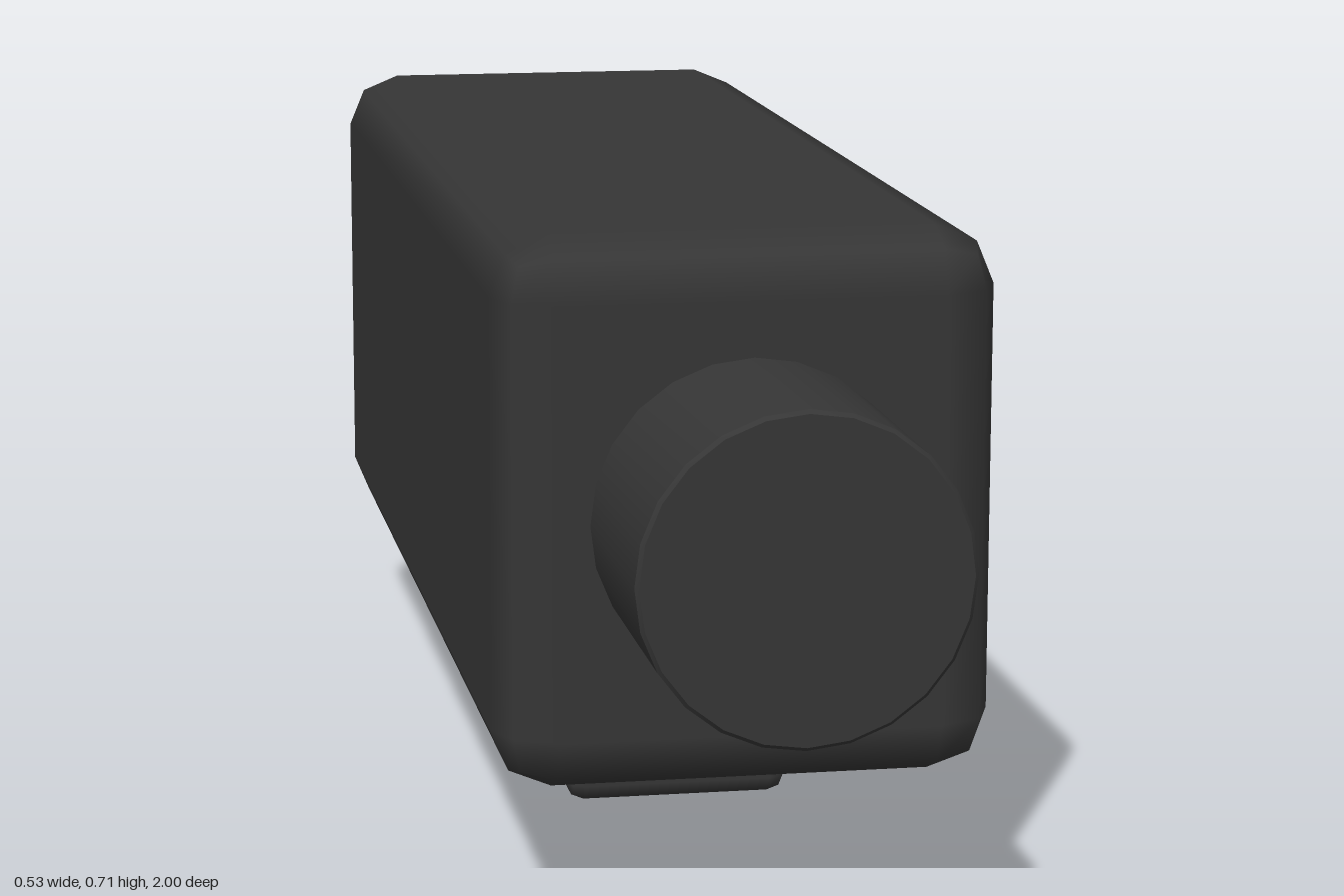
import * as THREE from 'three';
import { toCreasedNormals } from 'three/addons/utils/BufferGeometryUtils.js';
import { RoundedBoxGeometry } from 'three/addons/geometries/RoundedBoxGeometry.js';

export function createModel() {
  const model = new THREE.Group();
  model.name = 'camera';

  const charcoal = new THREE.MeshStandardMaterial({ color: 0x363636 });
  charcoal.name = 'charcoal';
  const steelBlue = new THREE.MeshStandardMaterial({ color: 0x41627c });
  steelBlue.name = 'steel blue';

  const add = (name, geometry, material, y) => {
    const mesh = new THREE.Mesh(geometry, material);
    mesh.name = name;
    mesh.position.y = y;
    model.add(mesh);
    return mesh;
  };

  // Barrel along z: closed, slightly bevelled at its outer rim
  const barrel = (radius, start, end, bevel, segments) => {
    const profile = [
      [0, start], [radius, start], [radius, end - bevel], [radius - bevel, end], [0, end],
    ].map(([r, h]) => new THREE.Vector2(r, h));
    const lathe = new THREE.LatheGeometry(profile, segments);
    return toCreasedNormals(lathe, Math.PI / 6).rotateX(Math.PI / 2);
  };

  // Housing and mounting foot
  add('body', new RoundedBoxGeometry(0.526, 0.578, 1.47, 1, 0.063), charcoal, 0.422);
  add('mountingFoot', new RoundedBoxGeometry(0.252, 0.127, 0.63, 1, 0.02), charcoal, 0.0635);

  // Front eyepiece and wider rear lens
  add('frontBarrel', barrel(0.168, 0.6, 1, 0.004, 24), charcoal, 0.422);
  const rear = add('rearLens', barrel(0.23, 0.6, 1, 0.005, 24), steelBlue, 0.425);
  rear.rotation.y = Math.PI;

  return model;
}
